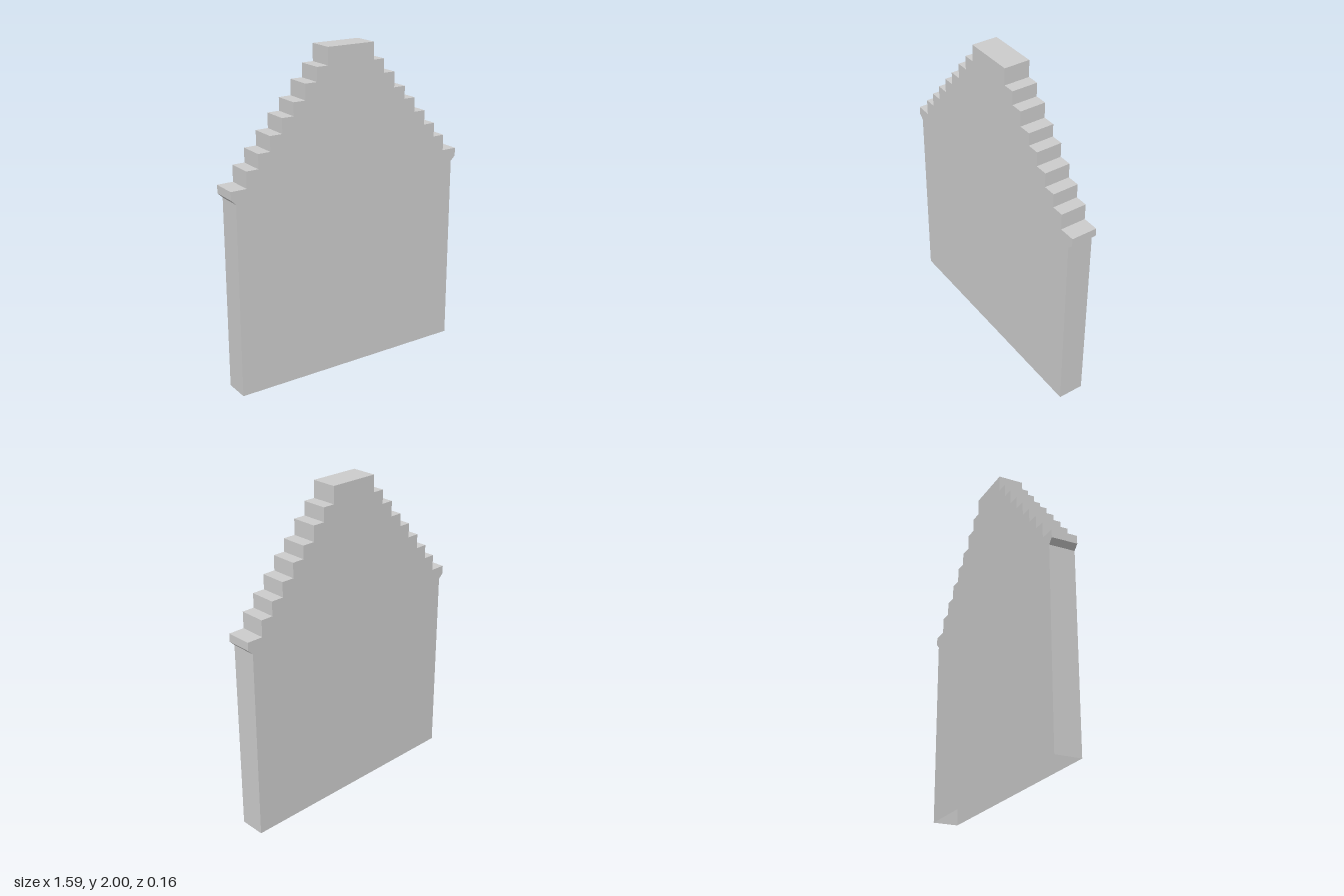
import * as THREE from 'three';

const DEPTH = 0.16;

// Right half of the outline, from the foot up to the ridge
function halfOutline() {
  const stepX = [0.797, 0.697, 0.62, 0.542, 0.463, 0.387, 0.308, 0.231, 0.157];
  const stepY = [1.27, 1.37, 1.457, 1.547, 1.637, 1.716, 1.811, 1.896, 2];
  // Wall edge and the small sloped corbel under the eaves
  const points = [[0.766, 0], [0.766, 1.19], [0.797, 1.22]];
  // Crow steps: riser up, then tread inwards
  stepX.forEach((x, i) => {
    if (i > 0) points.push([x, stepY[i - 1]]);
    points.push([x, stepY[i]]);
  });
  return points;
}

// Drops the triangles lying on the ground, leaving the wall open below
function openBottom(geometry) {
  const pos = geometry.attributes.position;
  const kept = [];
  for (let i = 0; i < pos.count; i += 3) {
    const top = Math.max(pos.getY(i), pos.getY(i + 1), pos.getY(i + 2));
    if (top > 1e-5) kept.push(i, i + 1, i + 2);
  }
  geometry.setIndex(kept);
  geometry.clearGroups();
  return geometry;
}

export function createModel() {
  const group = new THREE.Group();
  group.name = 'steppedGable';

  // Mirror the half outline to close the silhouette
  const right = halfOutline();
  const left = right.map(([x, y]) => [-x, y]).reverse();
  const shape = new THREE.Shape([...right, ...left].map(([x, y]) => new THREE.Vector2(x, y)));

  const geometry = new THREE.ExtrudeGeometry(shape, { depth: DEPTH, bevelEnabled: false });
  geometry.translate(0, 0, -DEPTH / 2);

  const material = new THREE.MeshStandardMaterial({
    color: 0xcccccc, flatShading: true, side: THREE.DoubleSide,
  });
  const wall = new THREE.Mesh(openBottom(geometry), material);
  wall.name = 'gableWall';
  group.add(wall);
  return group;
}
